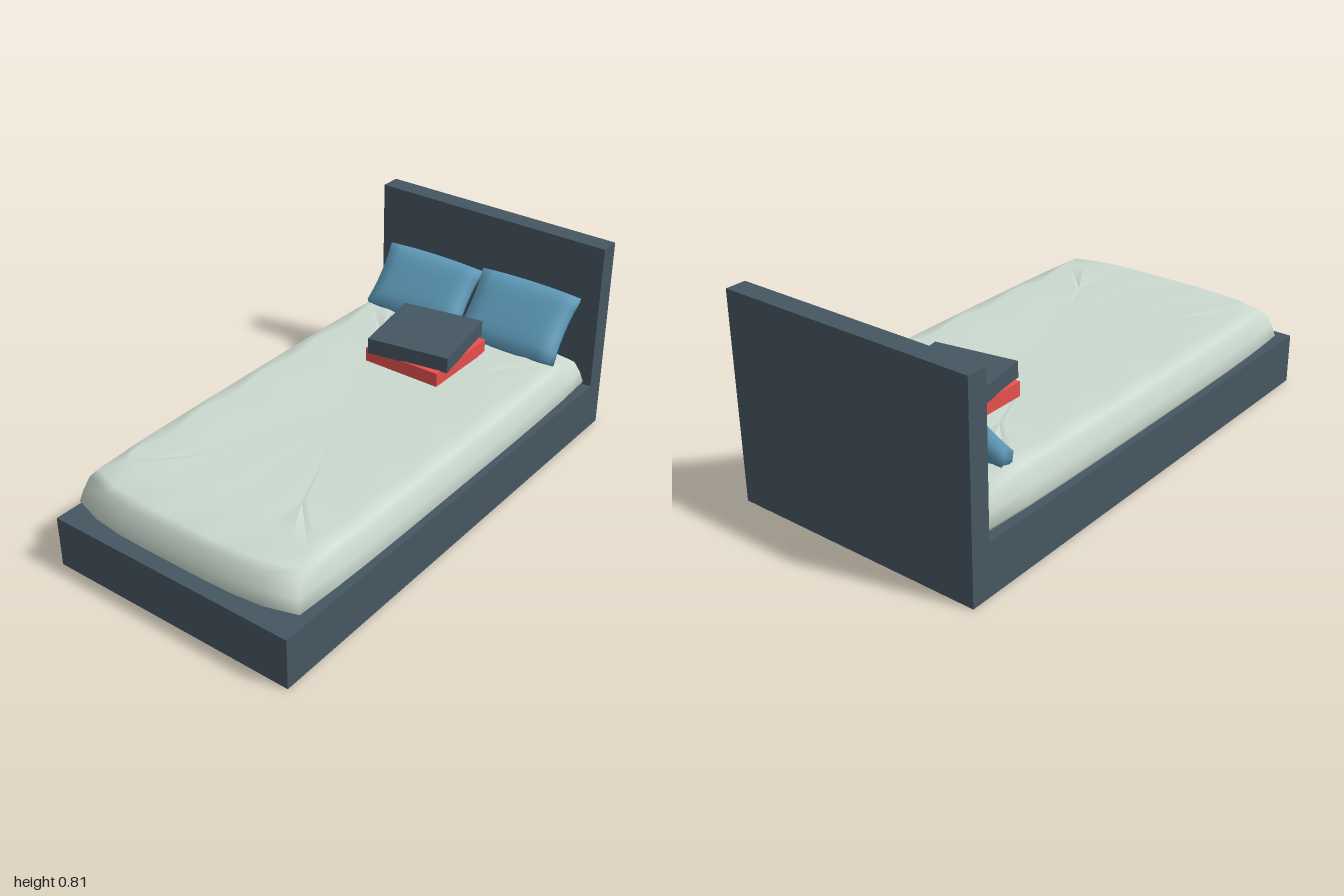
import * as THREE from 'three';
import { mergeVertices } from 'three/addons/utils/BufferGeometryUtils.js';

const material = (name, color, side = THREE.DoubleSide) => {
  const m = new THREE.MeshStandardMaterial({ color, side });
  m.name = name;
  return m;
};

const add = (parent, name, geometry, mat, x = 0, y = 0, z = 0) => {
  const mesh = new THREE.Mesh(geometry, mat);
  mesh.name = name;
  mesh.position.set(x, y, z);
  parent.add(mesh);
  return mesh;
};

// Hollow frame, open underneath: L-shaped sides joined by flat panels
function bedFrame(mat) {
  const frame = new THREE.Group();
  frame.name = 'bedFrame';
  const W = 0.52, deck = 0.203, head = 0.81, inner = -0.918;
  // Outline in (z, y), from front foot round to back foot
  const path = [[1, 0], [1, deck], [inner, deck], [inner, head], [-1, head], [-1, 0]];
  for (let i = 0; i < 5; i++) {
    const [z0, y0] = path[i], [z1, y1] = path[i + 1];
    const panel = new THREE.BufferGeometry();
    panel.setAttribute('position', new THREE.Float32BufferAttribute(
      [-W, y0, z0, W, y0, z0, W, y1, z1, -W, y1, z1], 3));
    panel.setIndex([0, 1, 2, 0, 2, 3]);
    panel.computeVertexNormals();
    add(frame, ['footPanel', 'deck', 'headboardFront', 'headboardTop', 'headboardBack'][i], panel, mat);
  }
  const outline = new THREE.Shape(path.map(([z, y]) => new THREE.Vector2(z, y)));
  for (const s of [-1, 1]) {
    const side = new THREE.ShapeGeometry(outline);
    // Turn the shape's x axis onto z, then mirror for the right side
    side.rotateY(-Math.PI / 2);
    if (s > 0) {
      const idx = side.index.array;
      for (let i = 0; i < idx.length; i += 3) [idx[i], idx[i + 1]] = [idx[i + 1], idx[i]];
      side.computeVertexNormals();
    }
    add(frame, s > 0 ? 'leftSide' : 'rightSide', side, mat, s * W);
  }
  return frame;
}

// Quilt: rectangular rings rising to a tufted rim and a flat middle
function quiltGeometry() {
  const NX = 8, NZ = 10, SX = 0.46, SZ = 0.875, CZ = 0.025;
  const loop = [];
  for (let i = 0; i < NX; i++) loop.push([-1 + 2 * i / NX, 1, i]);
  for (let i = 0; i < NZ; i++) loop.push([1, 1 - 2 * i / NZ, i]);
  for (let i = 0; i < NX; i++) loop.push([1 - 2 * i / NX, -1, i]);
  for (let i = 0; i < NZ; i++) loop.push([-1, -1 + 2 * i / NZ, i]);
  // half width, half length, height, tuft height
  const rings = [
    [0.49, 0.91, 0.2, 0], [0.514, 0.938, 0.232, 0], [0.502, 0.925, 0.28, 0],
    [0.487, 0.9, 0.33, 0], [0.47, 0.872, 0.352, 0],
    [0.415, 0.735, 0.354, 0.021], [0.24, 0.55, 0.356, 0],
  ];
  const pos = [], idx = [], n = loop.length;
  for (const [hx, hz, y, tuft] of rings) {
    for (const [u, v, i] of loop) {
      const x = THREE.MathUtils.clamp(u * Math.max(hx, SX), -hx, hx);
      const z = THREE.MathUtils.clamp(v * Math.max(hz, SZ), -hz, hz);
      const round = tuft || hx < 0.3 ? 0 : 1;
      pos.push(x * (1 - round * 0.03 * v ** 4), y + tuft * (i % 2),
        CZ + z * (1 - round * (v > 0 ? 0.06 : 0.025) * u ** 4));
    }
  }
  for (let r = 0; r < rings.length - 1; r++) {
    for (let j = 0; j < n; j++) {
      const a = r * n + j, b = r * n + (j + 1) % n;
      idx.push(a, b, b + n, a, b + n, a + n);
    }
  }
  const centre = pos.length / 3, last = (rings.length - 1) * n;
  pos.push(0, 0.356, CZ);
  for (let j = 0; j < n; j++) idx.push(last + j, last + (j + 1) % n, centre);
  const g = new THREE.BufferGeometry();
  g.setAttribute('position', new THREE.Float32BufferAttribute(pos, 3));
  g.setIndex(idx);
  g.computeVertexNormals();
  return g;
}

// Pillow: soft box with pinched sides and bowed long edges
function pillowGeometry(w, h, d) {
  let g = new THREE.BoxGeometry(w, h, d, 8, 6, 2);
  g.deleteAttribute('uv');
  g.deleteAttribute('normal');
  g = mergeVertices(g);
  const p = g.attributes.position;
  for (let i = 0; i < p.count; i++) {
    const u = p.getX(i) / (w / 2), v = p.getY(i) / (h / 2), f = p.getZ(i) / (d / 2);
    const edge = Math.max(Math.abs(u), Math.abs(v)) ** 6;
    const shrink = 1 - 0.05 * f * f;
    p.setXYZ(i,
      p.getX(i) * (1 - 0.05 * (1 - v * v)) * shrink,
      p.getY(i) * (0.96 + 0.05 * (1 - u * u)) * shrink,
      p.getZ(i) * (1 - 0.3 * edge));
  }
  g.computeVertexNormals();
  return g;
}

export function createModel() {
  const model = new THREE.Group();
  model.name = 'bed';
  const slate = material('slate', 0x465761);
  const sage = material('paleSage', 0xcbd9cf);
  const blue = material('pillowBlue', 0x609dbd, THREE.FrontSide);
  const red = material('red', 0xef5350, THREE.FrontSide);

  model.add(bedFrame(slate));
  add(model, 'quilt', quiltGeometry(), sage);

  // Pillows leaning on the headboard
  const right = add(model, 'rightPillow', pillowGeometry(0.445, 0.285, 0.095), blue, -0.222, 0.472, -0.798);
  const left = add(model, 'leftPillow', pillowGeometry(0.445, 0.3, 0.095), blue, 0.23, 0.48, -0.8);
  right.rotation.x = left.rotation.x = -0.7;

  // Folded blankets stacked on the quilt
  add(model, 'lowerFoldedBlanket', new THREE.BoxGeometry(0.336, 0.07, 0.34), red, 0, 0.378, -0.493);
  const upper = add(model, 'upperFoldedBlanket', new THREE.BoxGeometry(0.338, 0.064, 0.338), slate, -0.003, 0.442, -0.494);
  upper.rotation.y = THREE.MathUtils.degToRad(10);

  return model;
}
